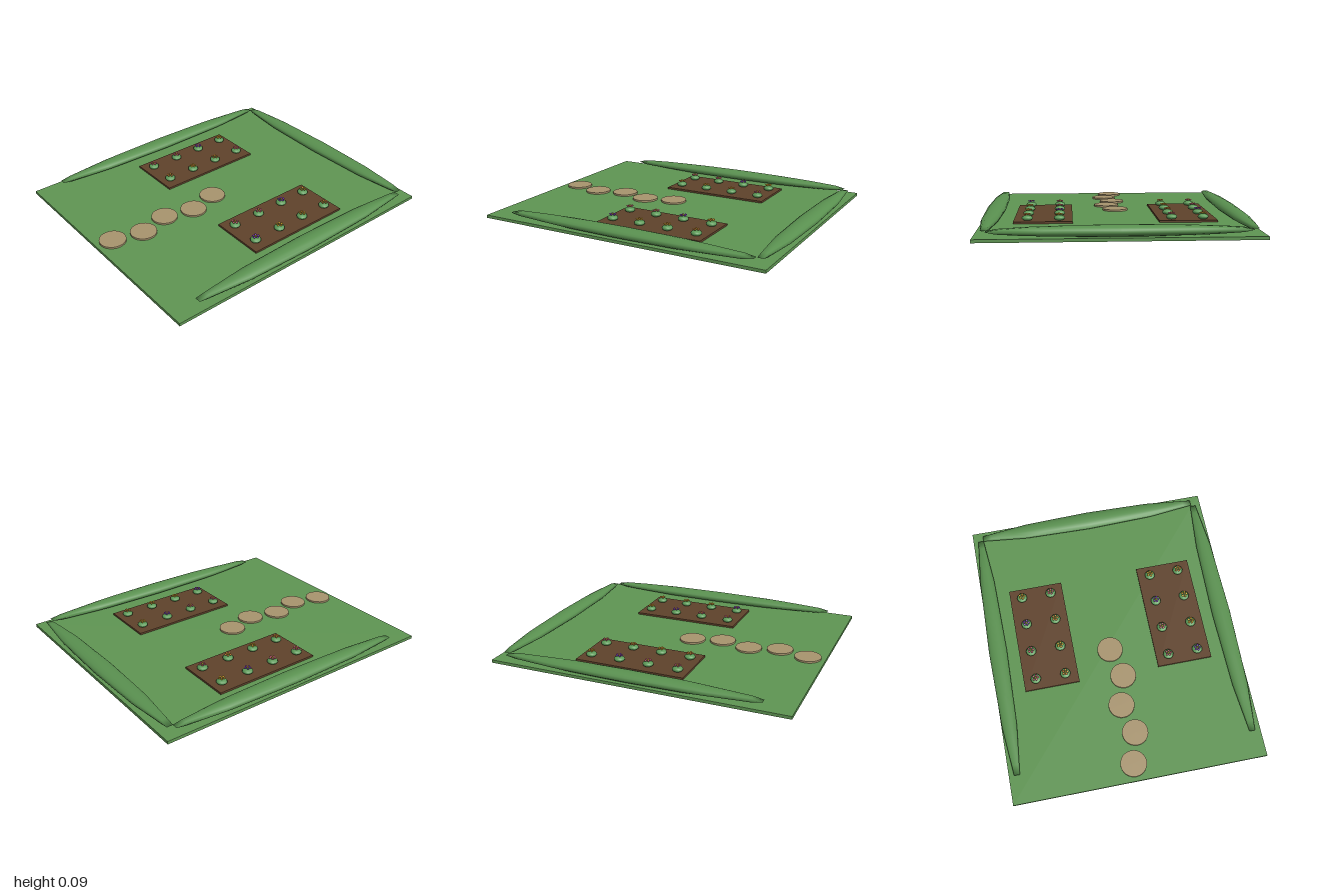
import * as THREE from 'three';

const mat = (name, color) => {
  const m = new THREE.MeshStandardMaterial({ color });
  m.name = name;
  return m;
};

export function createModel() {
  const garden = new THREE.Group();
  garden.name = 'garden';
  const grass = mat('grass green', 0x5f9553);
  const hedgeGreen = mat('hedge green', 0x5a9150);
  const soil = mat('soil brown', 0x5f422b);
  const stone = mat('stone tan', 0xa8946e);
  const leaf = mat('leaf green', 0x5c9a58);
  const yellow = mat('petal yellow', 0xe0b030);
  const pink = mat('petal pink', 0xd86a80);
  const purple = mat('petal purple', 0x9040d0);
  const orange = mat('petal orange', 0xe0903c);

  const add = (parent, name, geo, material, x, y, z) => {
    const mesh = new THREE.Mesh(geo, material);
    mesh.name = name;
    mesh.position.set(x, y, z);
    parent.add(mesh);
    return mesh;
  };

  // Lawn slab
  add(garden, 'lawn', new THREE.BoxGeometry(1.7, 0.02, 2), grass, 0, 0.01, 0);

  // Long clipped hedges: ten-sided spheres, stretched, with blunt ends
  const hedgeGeo = new THREE.SphereGeometry(1, 10, 8).rotateY(Math.PI / 2);
  const hedge = (name, x, z, length, width, turn) => {
    const h = add(garden, name, hedgeGeo, hedgeGreen, x, 0.052, z);
    h.scale.set(length, 0.034, width);
    h.rotation.y = turn;
  };
  hedge('backHedge', 0, -0.934, 0.815, 0.066, 0);
  hedge('rightHedge', -0.793, -0.05, 0.91, 0.062, Math.PI / 2);
  hedge('leftHedge', 0.787, -0.04, 0.91, 0.064, Math.PI / 2);

  // Stepping stones, zigzagging down the path
  const stoneGeo = new THREE.CylinderGeometry(0.088, 0.088, 0.012, 24);
  for (let i = 0; i < 5; i++) {
    add(garden, 'steppingStone', stoneGeo, stone, i % 2 ? 0.022 : -0.03, 0.026, 0.073 + i * 0.2025);
  }

  // Flower: squashed leafy bush with five petals around a centre
  const bushGeo = new THREE.SphereGeometry(1, 10, 8).scale(0.036, 0.018, 0.036);
  const petalGeo = new THREE.SphereGeometry(1, 6, 5).scale(0.0085, 0.005, 0.0085);
  const centreGeo = new THREE.SphereGeometry(1, 6, 5).scale(0.007, 0.006, 0.007);
  const flower = (x, z, petalColor) => {
    const f = new THREE.Group();
    f.name = 'flower';
    f.position.set(x, 0, z);
    add(f, 'bush', bushGeo, leaf, 0, 0.047, 0);
    for (let i = 0; i < 5; i++) {
      const a = (i / 5) * Math.PI * 2;
      add(f, 'petal', petalGeo, petalColor, 0.0165 * Math.cos(a), 0.072, 0.0165 * Math.sin(a));
    }
    add(f, 'flowerCentre', centreGeo, petalColor === yellow ? orange : yellow, 0, 0.074, 0);
    garden.add(f);
  };

  // Two soil beds, each planted in two columns of four
  const bedGeo = new THREE.BoxGeometry(0.375, 0.014, 0.75);
  const beds = [
    { x: -0.465, columns: [[yellow, purple, pink, pink], [pink, orange, yellow, orange]] },
    { x: 0.46, columns: [[yellow, purple, pink, pink], [orange, yellow, yellow, purple]] },
  ];
  for (const bed of beds) {
    add(garden, 'flowerBed', bedGeo, soil, bed.x, 0.026, -0.115);
    bed.columns.forEach((colors, c) => colors.forEach((color, r) => {
      flower(bed.x + (c ? 0.101 : -0.103), -0.42 + r * 0.203, color);
    }));
  }
  return garden;
}
